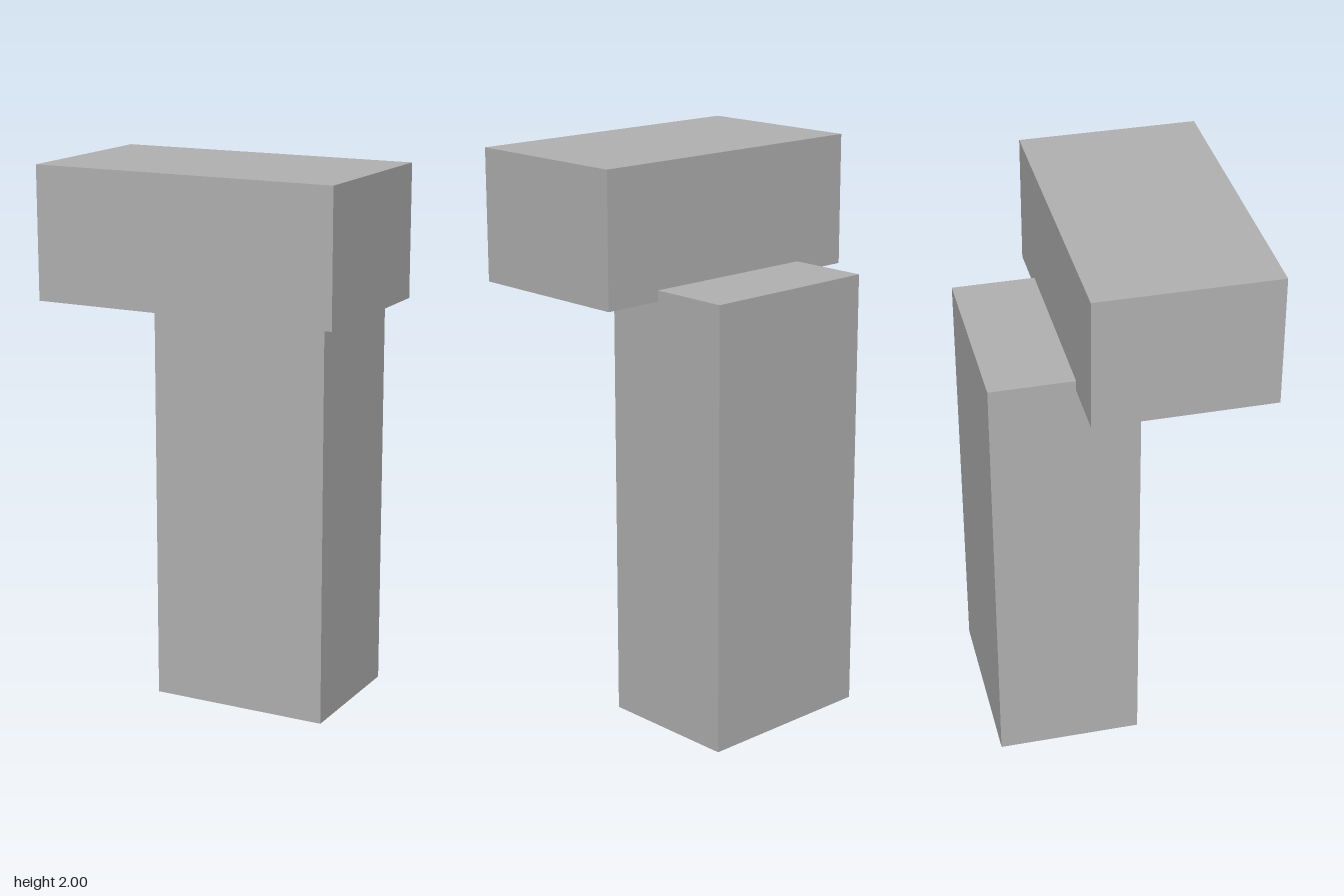
import * as THREE from 'three';

export function createModel() {
  const group = new THREE.Group();
  const grey = new THREE.MeshStandardMaterial({ color: 0xb2b2b2 });
  grey.name = 'grey';

  // Box given by its minimum and maximum corners
  function addBlock(name, min, max) {
    const size = max.map((v, i) => v - min[i]);
    const mesh = new THREE.Mesh(new THREE.BoxGeometry(...size), grey);
    mesh.position.set(...max.map((v, i) => (v + min[i]) / 2));
    mesh.name = name;
    group.add(mesh);
  }

  // Upright column at the back
  addBlock('column', [-0.333, 0, -0.46], [0.333, 1.573, 0.053]);
  // Wide head overhanging the front, sunk slightly into the column
  addBlock('head', [-0.55, 1.535, -0.167], [0.55, 2, 0.46]);

  return group;
}
